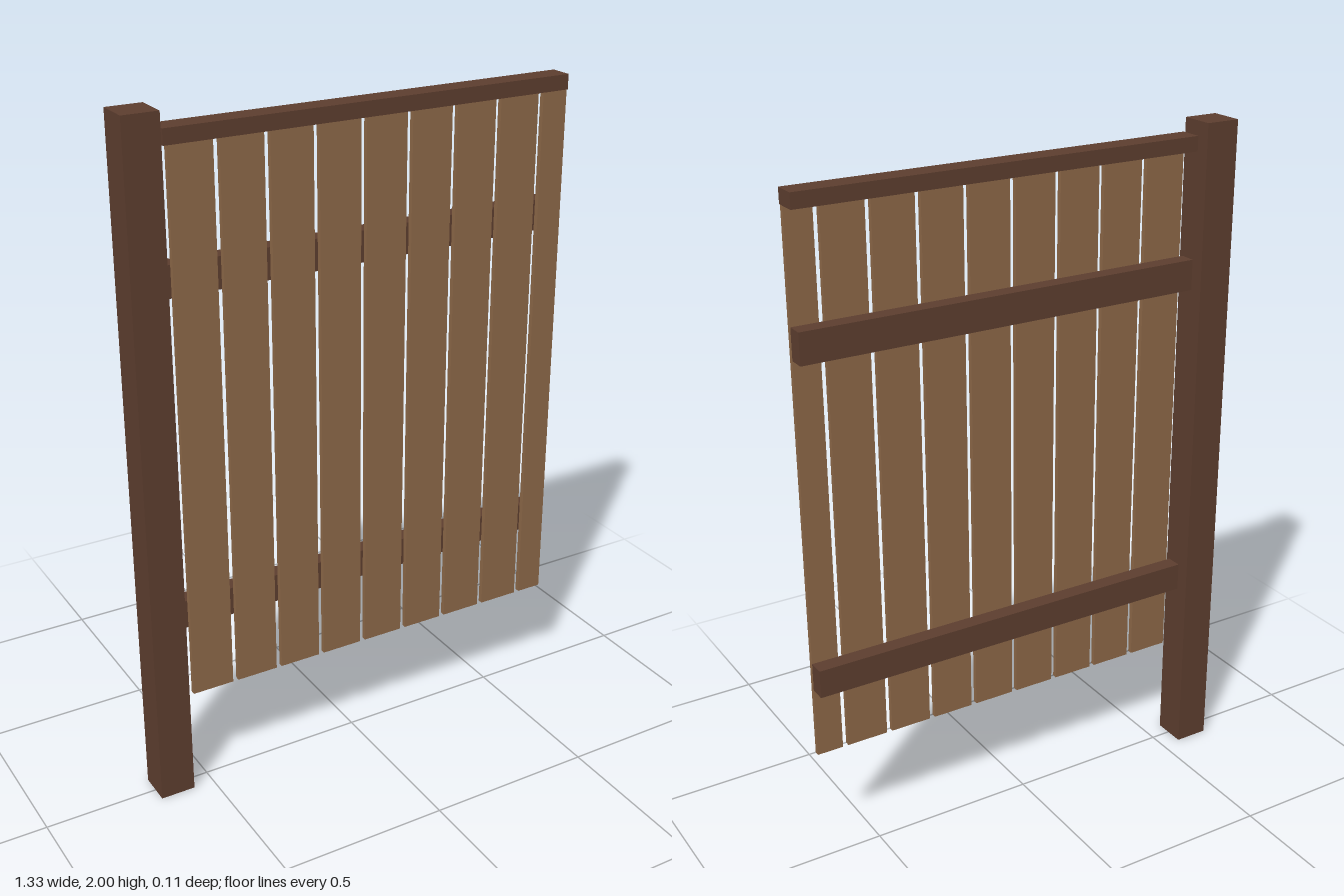
import * as THREE from 'three';

export function createModel() {
  const group = new THREE.Group();
  group.name = 'fencePanel';

  const darkWood = new THREE.MeshStandardMaterial({ color: 0x5c3d2e });
  darkWood.name = 'darkWood';
  const lightWood = new THREE.MeshStandardMaterial({ color: 0x8b6747 });
  lightWood.name = 'lightWood';

  // Box given by its minimum and maximum along each axis
  function beam(name, material, [x0, x1], [y0, y1], [z0, z1]) {
    const mesh = new THREE.Mesh(new THREE.BoxGeometry(x1 - x0, y1 - y0, z1 - z0), material);
    mesh.position.set((x0 + x1) / 2, (y0 + y1) / 2, (z0 + z1) / 2);
    mesh.name = name;
    group.add(mesh);
  }

  const left = -0.562, right = 0.665;

  // Square post carrying the panel at one end
  beam('post', darkWood, [-0.665, left], [0, 2], [-0.055, 0.047]);

  // Horizontal rails behind the boards, and the cap along the top
  beam('lowerRail', darkWood, [left, right], [0.54, 0.625], [-0.013, 0.035]);
  beam('upperRail', darkWood, [left, right], [1.515, 1.605], [-0.013, 0.035]);
  beam('capRail', darkWood, [left, right], [1.915, 1.958], [-0.013, 0.055]);

  // Vertical boards; the last one is cut flush with the rail ends
  const pitch = 0.142, width = 0.125;
  for (let i = 0; i < 9; i++) {
    const x = -0.55 + i * pitch;
    beam(`board${i + 1}`, lightWood, [x, Math.min(x + width, right)], [0.325, 1.915], [0.035, 0.05]);
  }

  return group;
}
